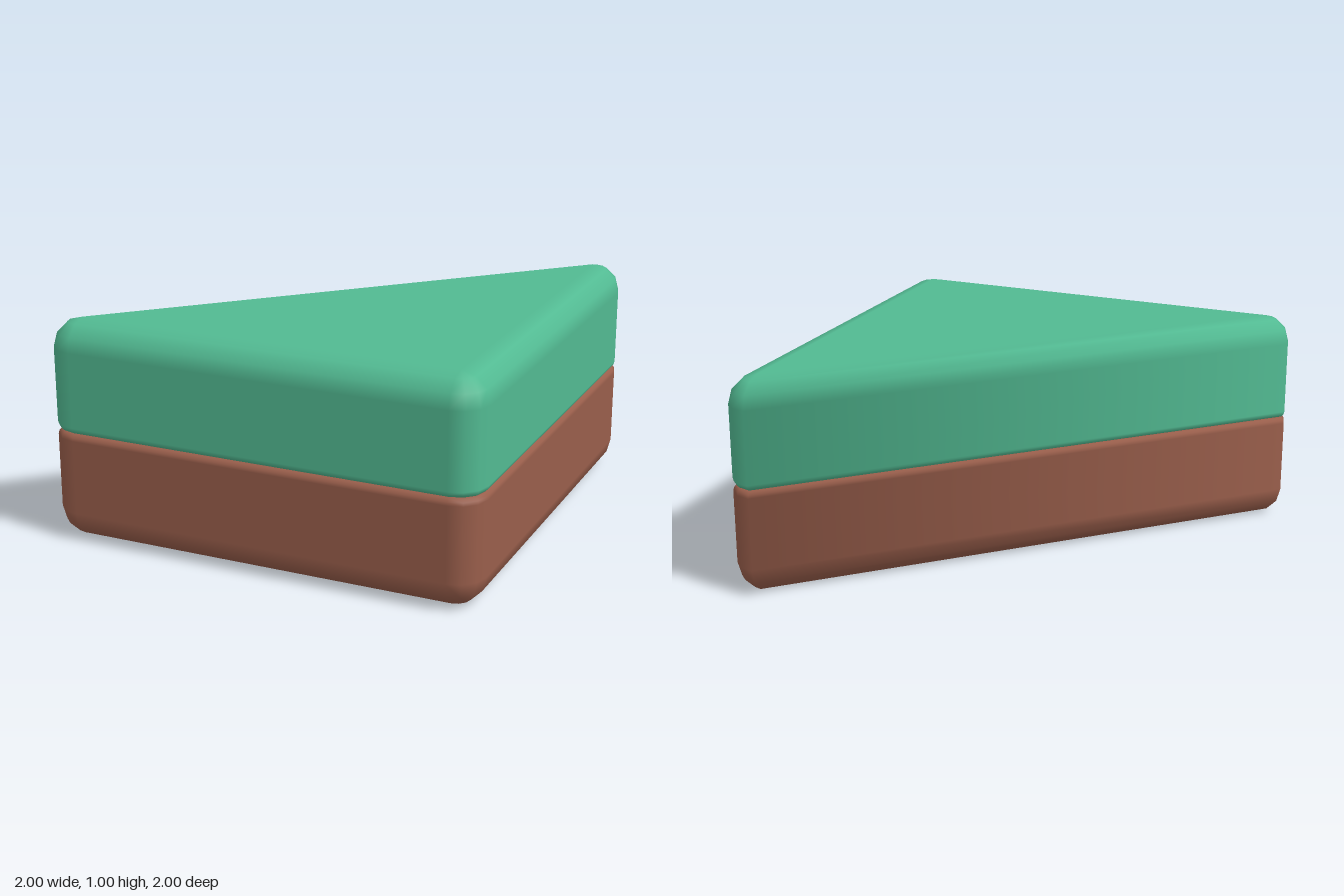
import * as THREE from 'three';

const R = 0.13;        // radius of the large outer rounding
const SEAM = 0.03;     // radius of the small rounding at the seam
const STEPS = 3;       // segments per rounding
const CORE = 1 - R;

// Corner centres [x, z, start angle] of the right-angled triangle
const CORNERS = [
  [CORE, -CORE, -Math.PI / 2],
  [CORE, CORE, 0],
  [-CORE, CORE, Math.PI / 2],
];

// One half of the wedge; dir = 1 rises from the seam, dir = -1 hangs below it
function halfGeometry(dir) {
  // Profile rows: outward offset, height from the seam, normal angle
  const rows = [];
  for (let i = 0; i <= STEPS; i++) {
    const t = (i / STEPS - 1) * Math.PI / 2;
    rows.push([R - SEAM + SEAM * Math.cos(t), SEAM + SEAM * Math.sin(t), t]);
  }
  for (let i = 0; i <= STEPS; i++) {
    const t = (i / STEPS) * Math.PI / 2;
    rows.push([R * Math.cos(t), 0.5 - R + R * Math.sin(t), t]);
  }

  const pos = [], nor = [], idx = [];
  for (const [offset, h, t] of rows) {
    for (const [cx, cz, start] of CORNERS) {
      for (let k = 0; k <= STEPS; k++) {
        const a = start + (k / STEPS) * Math.PI / 2;
        const x = Math.cos(a), z = Math.sin(a);
        pos.push(cx + offset * x, 0.5 + dir * h, cz + offset * z);
        nor.push(x * Math.cos(t), dir * Math.sin(t), z * Math.cos(t));
      }
    }
  }

  const tri = (a, b, c) => (dir > 0 ? idx.push(a, b, c) : idx.push(a, c, b));
  const n = CORNERS.length * (STEPS + 1);
  // Walls and roundings
  for (let i = 0; i < rows.length - 1; i++) {
    for (let j = 0; j < n; j++) {
      const a = i * n + j, b = i * n + (j + 1) % n;
      tri(a, a + n, b);
      tri(b, a + n, b + n);
    }
  }
  // Flat seam face and flat outer face
  for (let j = 1; j < n - 1; j++) tri(0, j, j + 1);
  const last = (rows.length - 1) * n;
  tri(last, last + 2 * (STEPS + 1), last + STEPS + 1);

  const geo = new THREE.BufferGeometry();
  geo.setAttribute('position', new THREE.Float32BufferAttribute(pos, 3));
  geo.setAttribute('normal', new THREE.Float32BufferAttribute(nor, 3));
  geo.setIndex(idx);
  return geo;
}

export function createModel() {
  const group = new THREE.Group();
  group.name = 'triangularBlock';
  const halves = [['grassLayer', 1, 0x52ba92], ['earthLayer', -1, 0x995e4b]];
  for (const [name, dir, color] of halves) {
    const mesh = new THREE.Mesh(halfGeometry(dir), new THREE.MeshStandardMaterial({ color }));
    mesh.name = name;
    group.add(mesh);
  }
  return group;
}
